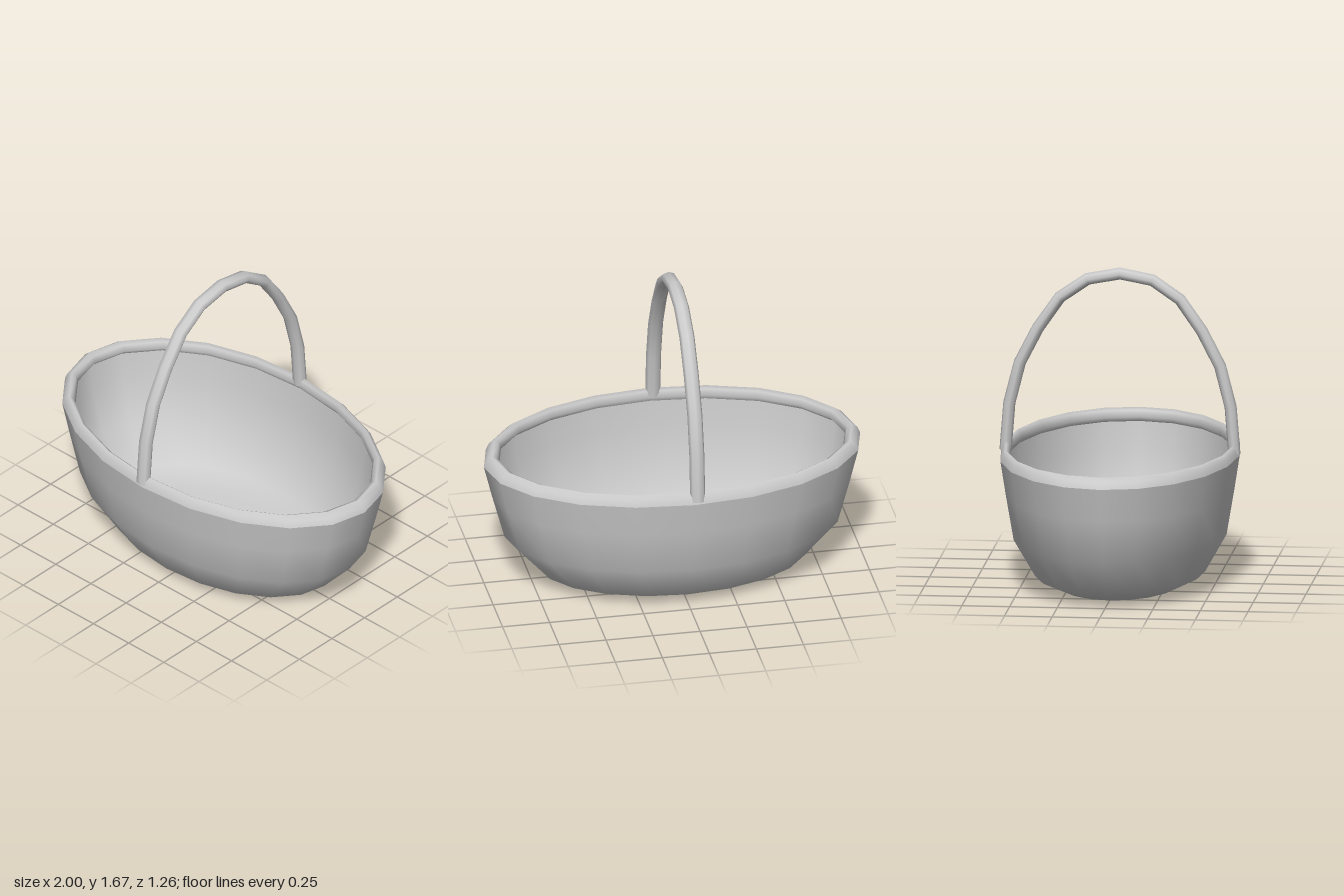
import * as THREE from 'three';

const DEPTH = 0.626; // depth of the oval relative to its width
const SIDES = 20;

// Oval surface of revolution from [radius, height] pairs
function ovalLathe(name, profile, material) {
  const points = profile.map(([r, y]) => new THREE.Vector2(r, y));
  const geometry = new THREE.LatheGeometry(points, SIDES);
  geometry.scale(1, 1, DEPTH);
  const mesh = new THREE.Mesh(geometry, material);
  mesh.name = name;
  return mesh;
}

export function createModel() {
  const group = new THREE.Group();
  group.name = 'basket';
  const material = new THREE.MeshStandardMaterial({ color: 0xcccccc, side: THREE.DoubleSide });

  // Outer wall and base
  group.add(ovalLathe('outerBowl', [
    [0, 0], [0.53, 0], [0.71, 0.06], [0.89, 0.26], [0.955, 0.5], [1, 0.68],
  ], material));

  // Rounded rim, rolled over to the inside
  group.add(ovalLathe('rim', [
    [1, 0.68], [0.985, 0.715], [0.955, 0.737], [0.93, 0.725], [0.918, 0.69], [0.94, 0.665],
  ], material));

  // Inner wall and floor
  group.add(ovalLathe('innerBowl', [
    [0.955, 0.67], [0.93, 0.51], [0.865, 0.27], [0.69, 0.08], [0.52, 0.02], [0, 0.02],
  ], material));

  // Arched handle from front to back
  const half = [[0.6, 0.69], [0.58, 0.94], [0.525, 1.155], [0.43, 1.34], [0.315, 1.505], [0.17, 1.605]];
  const arch = [...half, [0, 1.637], ...half.map(([z, y]) => [-z, y]).reverse()];
  const path = new THREE.CatmullRomCurve3(arch.map(([z, y]) => new THREE.Vector3(0, y, z)));
  // Place the rings exactly on the arch points
  path.getPointAt = (t, target) => path.getPoint(t, target);
  path.getTangentAt = (t, target) => path.getTangent(t, target);
  const tube = new THREE.TubeGeometry(path, arch.length - 1, 0.032, 8);
  tube.scale(1.25, 1, 1);
  const handle = new THREE.Mesh(tube, material);
  handle.name = 'handle';
  handle.position.x = -0.017;
  group.add(handle);

  return group;
}
